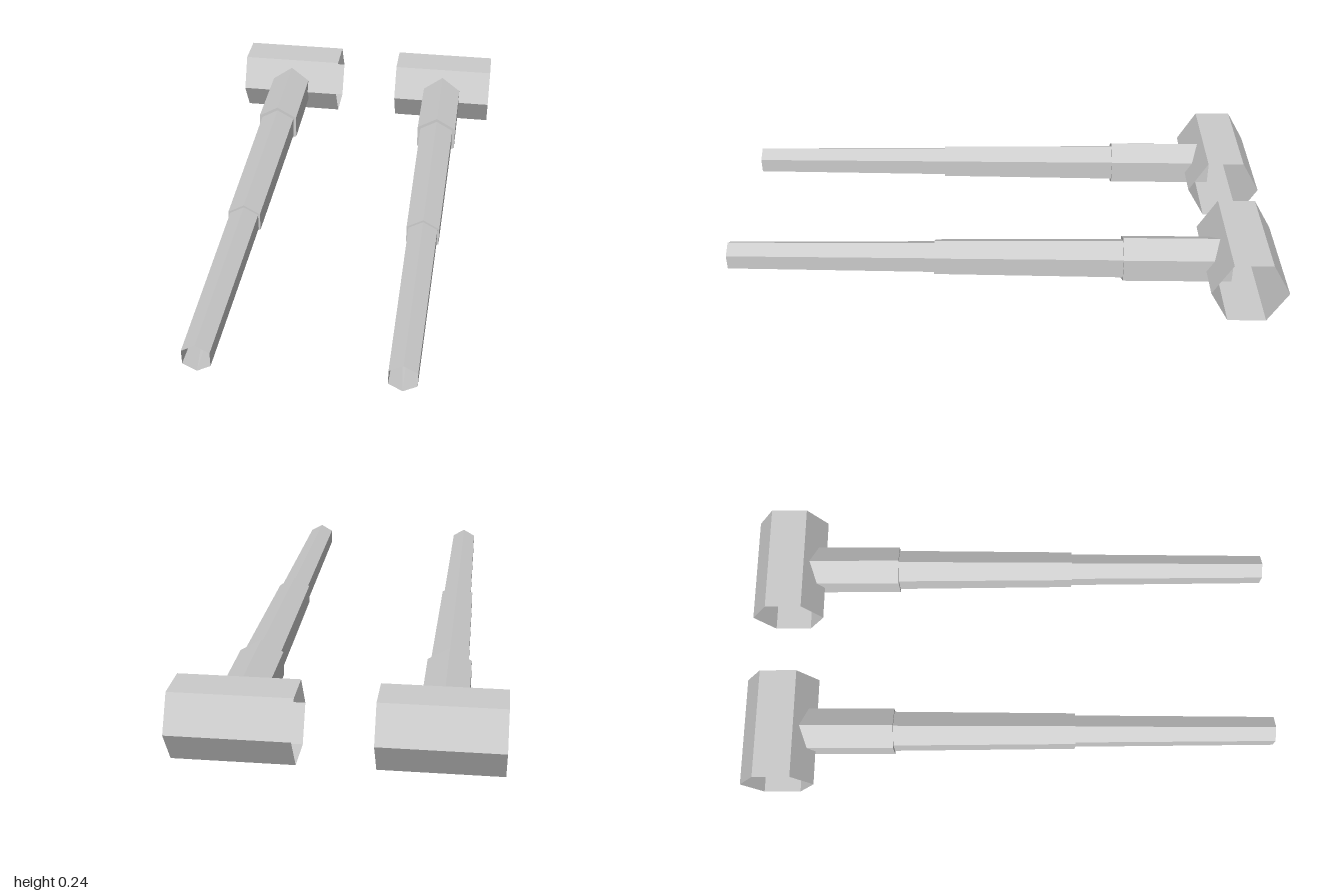
import * as THREE from 'three';

const material = new THREE.MeshStandardMaterial({ color: 0xcccccc, flatShading: true, side: THREE.DoubleSide });
const CENTER_Y = 0.119;

// Six-sided tapered section along z, with corners at top and bottom
function section(name, z0, z1, r0, r1, open = false) {
  const geometry = new THREE.CylinderGeometry(r1, r0, z1 - z0, 6, 1, open).rotateX(Math.PI / 2);
  const mesh = new THREE.Mesh(geometry, material);
  mesh.name = name;
  mesh.position.z = (z0 + z1) / 2;
  return mesh;
}

// Narrowing bore closed by a triangular floor and three slanted corners
function boreGeometry(zRim, rRim, rFloor, zCorner, zFloor) {
  const point = (i, r, z) => {
    const a = Math.PI / 2 + (i * Math.PI) / 3;
    return [r * Math.cos(a), r * Math.sin(a), z];
  };
  const rim = [], inner = [], index = [];
  for (let i = 0; i < 6; i++) {
    rim.push(point(i, rRim, zRim));
    inner.push(point(i, rFloor, i % 2 ? zCorner : zFloor));
  }
  for (let i = 0; i < 6; i++) {
    const j = (i + 1) % 6;
    index.push(i, j, 6 + i, j, 6 + j, 6 + i);
  }
  for (const i of [1, 3, 5]) index.push(6 + i - 1, 6 + i, 6 + ((i + 1) % 6));
  index.push(6, 8, 10);
  const geometry = new THREE.BufferGeometry();
  geometry.setAttribute('position', new THREE.Float32BufferAttribute([...rim, ...inner].flat(), 3));
  geometry.setIndex(index);
  const flat = geometry.toNonIndexed();
  flat.computeVertexNormals();
  return flat;
}

function createHammer(name, x) {
  const hammer = new THREE.Group();
  hammer.name = name;
  hammer.position.set(x, CENTER_Y, 0);

  // Open hexagonal sleeve lying across the back
  const sleeve = new THREE.Mesh(
    new THREE.CylinderGeometry(0.137, 0.137, 0.408, 6, 1, true).rotateZ(Math.PI / 2), material);
  sleeve.name = 'crossSleeve';
  sleeve.position.z = -0.863;

  // Stepped shaft, thickest at the sleeve
  hammer.add(
    sleeve,
    section('shaftCollar', -0.82, -0.43, 0.089, 0.089),
    section('shaftMiddle', -0.43, 0.25, 0.076, 0.069),
    section('shaftTip', 0.25, 1, 0.061, 0.054, true)
  );

  // Hollow in the front end
  const bore = new THREE.Mesh(boreGeometry(1, 0.054, 0.043, 0.75, 0.65), material);
  bore.name = 'tipBore';
  hammer.add(bore);
  return hammer;
}

export function createModel() {
  const model = new THREE.Group();
  model.name = 'pairOfSteppedShafts';
  model.add(createHammer('leftShaft', 0.333), createHammer('rightShaft', -0.333));
  return model;
}
